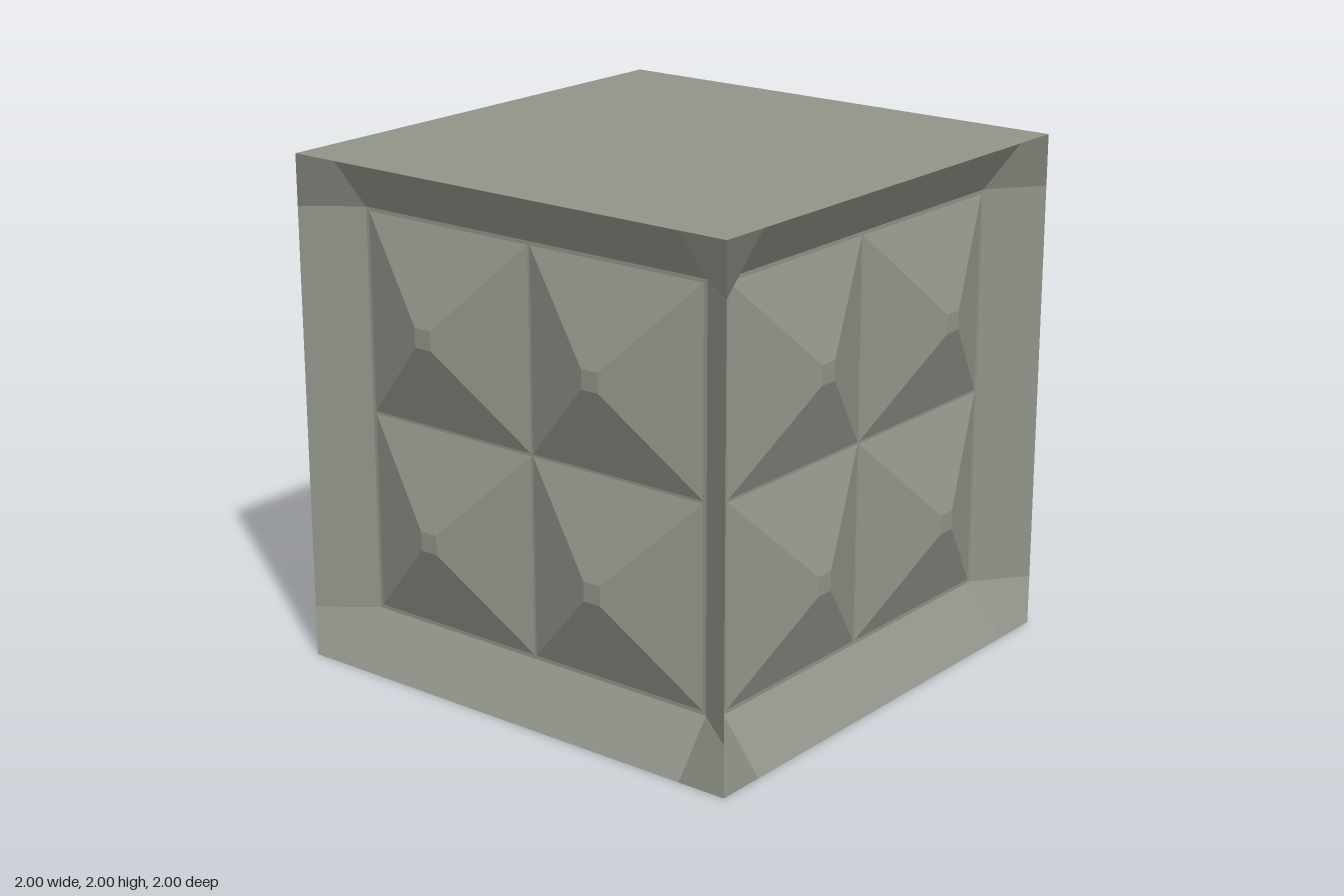
import * as THREE from 'three';

const OUTER = 1;      // half size of the block
const INNER = 0.8;    // half size of the recessed panel
const FLOOR = 0.845;  // distance of the recessed panel from the centre
const TIP = 0.985;    // distance of the stud tops from the centre

// Four-cornered face, split along b-d, with one normal for the whole face
function quad(a, b, c, d) {
  const [A, B, C, D] = [a, b, c, d].map((p) => new THREE.Vector3(...p));
  const n = C.clone().sub(A).cross(D.clone().sub(B)).normalize();
  const corners = [A, B, D, B, C, D];
  const geometry = new THREE.BufferGeometry().setFromPoints(corners);
  geometry.setAttribute('normal',
    new THREE.Float32BufferAttribute(corners.flatMap(() => [n.x, n.y, n.z]), 3));
  return geometry;
}

// Blunt four-sided pyramid pointing to +z
function studGeometry() {
  const k = Math.SQRT2, height = TIP - FLOOR;
  let g = new THREE.CylinderGeometry(0.038 * k, 0.39 * k, height, 4);
  g.rotateY(Math.PI / 4);
  g.rotateX(Math.PI / 2);
  g = g.toNonIndexed();
  g.computeVertexNormals();
  return g;
}

export function createModel() {
  const model = new THREE.Group();
  model.name = 'studdedBlock';
  const stone = new THREE.MeshStandardMaterial({ color: 0x8f9388 });
  stone.name = 'greyStone';

  const add = (parent, name, geometry) => {
    const mesh = new THREE.Mesh(geometry, stone);
    mesh.name = name;
    parent.add(mesh);
    return mesh;
  };

  // Flat top and bottom
  const top = add(model, 'top', new THREE.PlaneGeometry(2, 2));
  top.rotation.x = -Math.PI / 2;
  top.position.y = 2;
  const bottom = add(model, 'bottom', new THREE.PlaneGeometry(2, 2));
  bottom.rotation.x = Math.PI / 2;

  const stripGeo = quad([-INNER, -OUTER, OUTER], [INNER, -OUTER, OUTER],
    [INNER, -INNER, FLOOR], [-INNER, -INNER, FLOOR]);
  const cornerGeo = quad([-OUTER, -OUTER, OUTER], [-INNER, -OUTER, OUTER],
    [-INNER, -INNER, FLOOR], [-OUTER, -INNER, OUTER]);
  const panelGeo = new THREE.PlaneGeometry(2 * INNER, 2 * INNER);
  const studGeo = studGeometry();

  // Four identical sides around the block
  ['front', 'left', 'back', 'right'].forEach((name, i) => {
    const side = new THREE.Group();
    side.name = name + 'Side';
    side.position.y = 1;
    side.rotation.y = i * Math.PI / 2;
    model.add(side);

    // Sloping frame with folded corners
    for (let k = 0; k < 4; k++) {
      add(side, 'frameStrip', stripGeo).rotation.z = k * Math.PI / 2;
      add(side, 'frameCorner', cornerGeo).rotation.z = k * Math.PI / 2;
    }

    // Recessed panel with a two by two grid of studs
    add(side, 'panel', panelGeo).position.z = FLOOR;
    for (const x of [-0.395, 0.395]) {
      for (const y of [-0.395, 0.395]) {
        add(side, 'stud', studGeo).position.set(x, y, (FLOOR + TIP) / 2);
      }
    }
  });
  return model;
}
